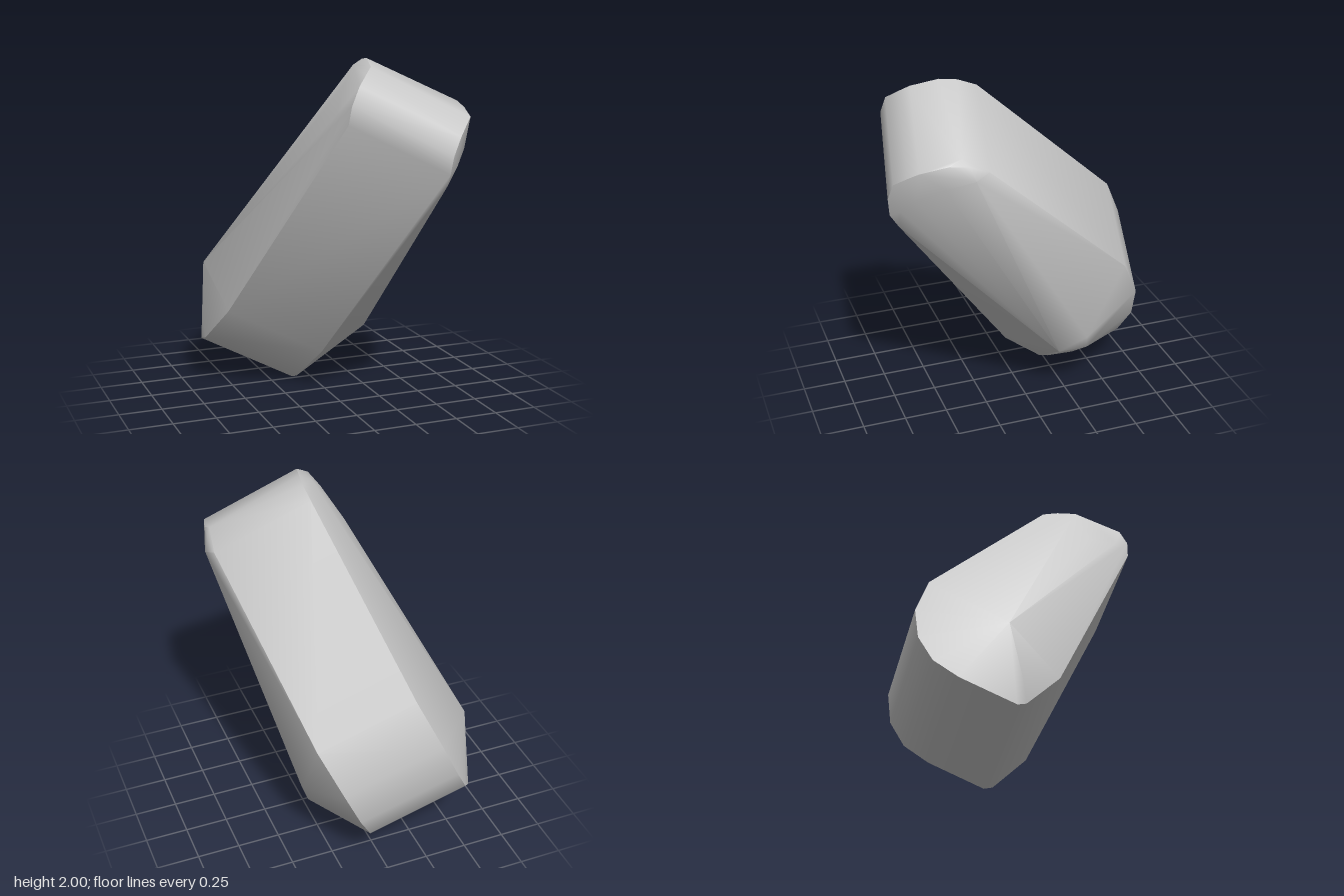
import * as THREE from 'three';
import { ConvexGeometry } from 'three/addons/geometries/ConvexGeometry.js';
import { toCreasedNormals } from 'three/addons/utils/BufferGeometryUtils.js';

export function createModel() {
  const group = new THREE.Group();
  const stoneGrey = new THREE.MeshStandardMaterial({ color: 0xc8c8c8 });
  const vec = (p) => new THREE.Vector3(...p);

  // Leaning rounded outline of the left side, from the foot up the back, over the cap and down the front
  const outline = [
    [-0.11, 0, -0.28], [0, 0.13, -0.56], [0.08, 0.23, -0.67], [0.16, 0.38, -0.72],
    [0.25, 0.58, -0.7], [0.36, 0.83, -0.57],
    [0.62, 1.67, 0.34], [0.625, 1.715, 0.45], [0.61, 1.725, 0.55], [0.57, 1.69, 0.7],
    [0.52, 1.65, 0.75], [0.46, 1.6, 0.81], [0.41, 1.5, 0.83], [0.395, 1.4, 0.82],
    [0.4, 1.33, 0.775], [-0.03, 0.24, 0.03], [-0.1, 0.02, -0.22],
  ].map(vec);

  // The same outline moved across the width gives the right side
  const width = new THREE.Vector3(-0.54, 0.275, -0.11);
  const opposite = outline.map((p) => p.clone().add(width));

  // Shallow swelling of each side face, with a softened rim around the cap
  const leftSwell = [
    [0.28, 0.26, -0.28], [0.34, 0.315, -0.35], [0.33, 0.31, -0.18], [0.37, 0.4, -0.34],
    [0.65, 1.64, 0.42], [0.6, 1.755, 0.48],
    [0.61, 1.6, 0.57], [0.53, 1.52, 0.71], [0.46, 1.44, 0.775],
  ].map(vec);
  const rightSwell = [
    [-0.62, 0.74, -0.42], [-0.65, 0.4, -0.35], [-0.19, 1.69, 0.4], [-0.17, 1.72, 0.6],
    [-0.08, 1.88, 0.5], [0, 1.965, 0.42],
  ].map(vec);

  const hull = new ConvexGeometry([...outline, ...opposite, ...leftSwell, ...rightSwell]);
  const stone = new THREE.Mesh(toCreasedNormals(hull, 0.75), stoneGrey);
  stone.name = 'stone';
  group.add(stone);
  return group;
}
